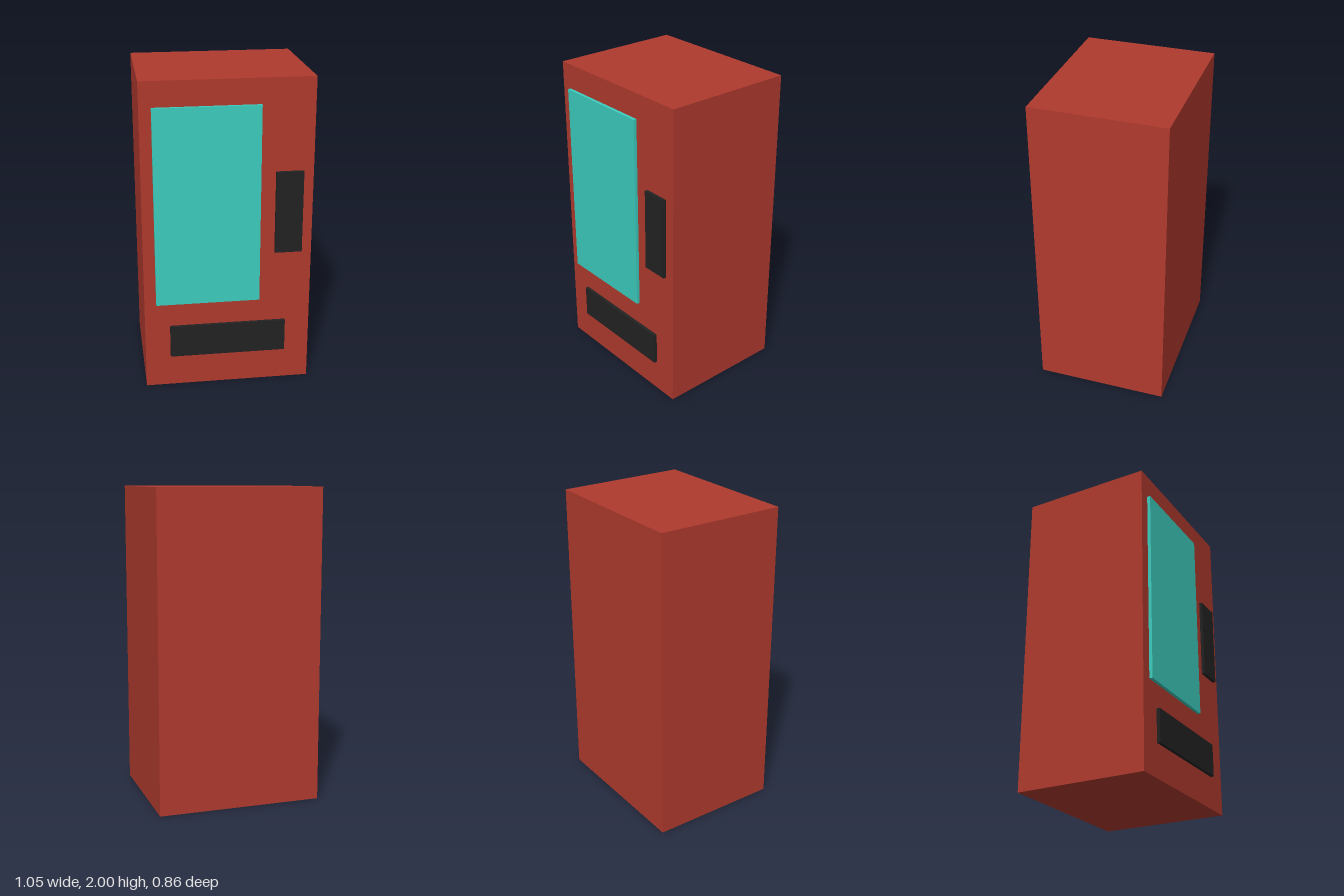
import * as THREE from 'three';

const FRONT = 0.411; // z of the cabinet's front face

function makeMaterial(name, color) {
  const material = new THREE.MeshStandardMaterial({ color });
  material.name = name;
  return material;
}

export function createModel() {
  const red = makeMaterial('cabinet red', 0xb03a2e);
  const teal = makeMaterial('window teal', 0x3dccbe);
  const black = makeMaterial('panel black', 0x222222);

  const model = new THREE.Group();
  model.name = 'vendingMachine';

  // Box given by its size and centre
  const addBox = (name, material, [w, h, d], [x, y, z]) => {
    const mesh = new THREE.Mesh(new THREE.BoxGeometry(w, h, d), material);
    mesh.name = name;
    mesh.position.set(x, y, z);
    model.add(mesh);
  };

  // Raised plate resting on the front face
  const depth = 0.021;
  const addPlate = (name, material, w, h, x, y) =>
    addBox(name, material, [w, h, depth], [x, y, FRONT + depth / 2]);

  // Cabinet
  addBox('cabinet', red, [1.053, 2, 0.843], [0, 1, FRONT - 0.843 / 2]);

  // Display window, payment panel and collection slot
  addPlate('displayWindow', teal, 0.653, 1.263, -0.127, 1.211);
  addPlate('paymentPanel', black, 0.17, 0.526, 0.378, 1.16);
  addPlate('collectionSlot', black, 0.737, 0.211, 0, 0.317);

  return model;
}
